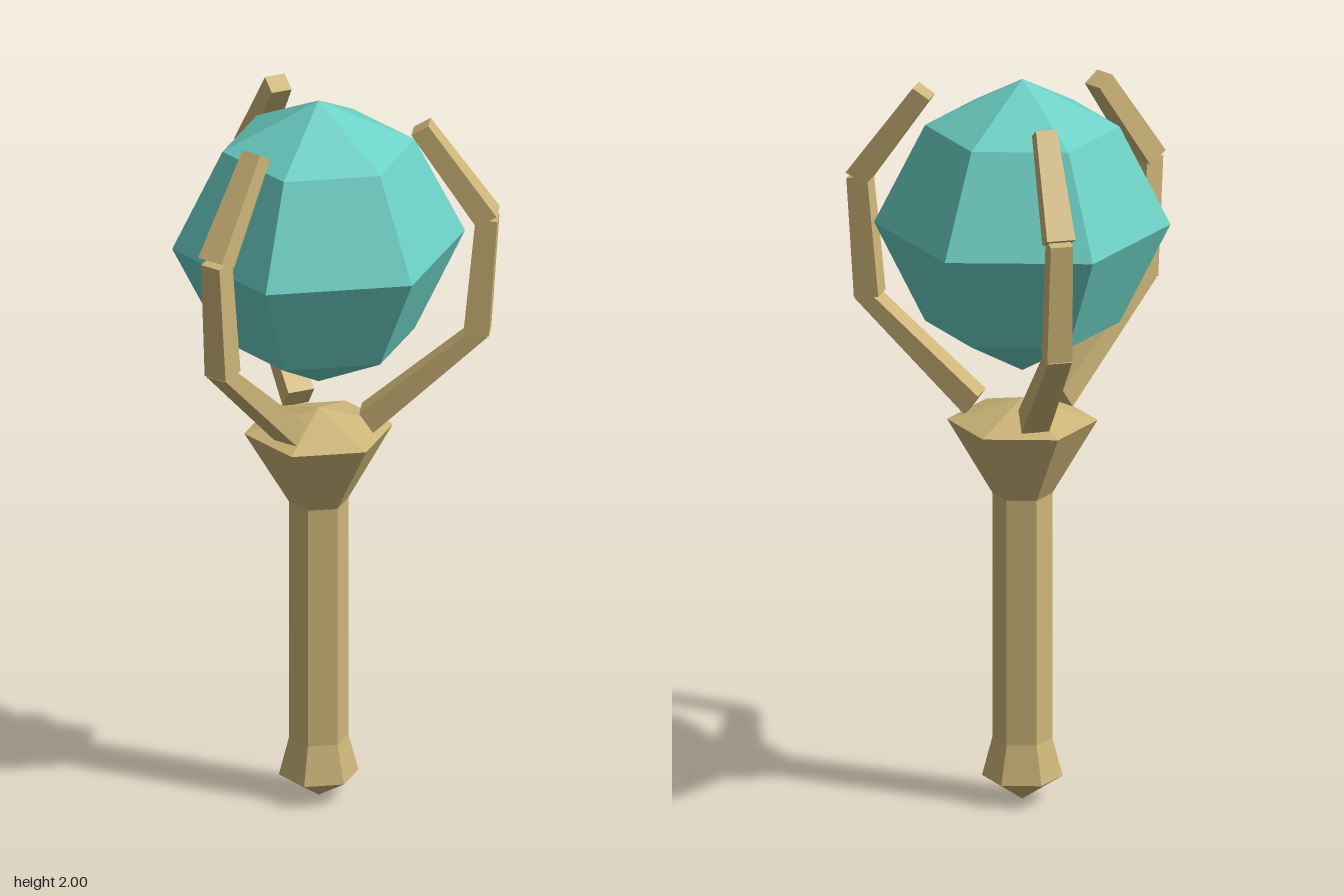
import * as THREE from 'three';

const gold = new THREE.MeshStandardMaterial({ color: 0xcdb578, flatShading: true });
gold.name = 'pale gold';
const teal = new THREE.MeshStandardMaterial({ color: 0x6cd0c5, flatShading: true });
teal.name = 'teal crystal';

// Six-sided turned solid; profile is [radius, height] from bottom to top
function turned(name, profile, material) {
  const points = profile.map(([r, y]) => new THREE.Vector2(r, y));
  const mesh = new THREE.Mesh(new THREE.LatheGeometry(points, 6, Math.PI / 12), material);
  mesh.name = name;
  return mesh;
}

// Tapered bar: each end gives its outer and inner corner [radius, height], width and side offset
function bar(name, bottom, top) {
  const geometry = new THREE.BoxGeometry(1, 1, 1);
  const p = geometry.attributes.position;
  for (let i = 0; i < p.count; i++) {
    const end = p.getY(i) < 0 ? bottom : top;
    const [r, y] = p.getZ(i) > 0 ? end.outer : end.inner;
    p.setXYZ(i, end.offset + p.getX(i) * end.width, y, r);
  }
  geometry.computeVertexNormals();
  const mesh = new THREE.Mesh(geometry, gold);
  mesh.name = name;
  return mesh;
}

// Three-jointed claw reaching along +z
function claw() {
  const group = new THREE.Group();
  group.add(
    bar('clawLower',
      { outer: [0.148, 1.067], inner: [0.111, 1.12], width: 0.074, offset: 0 },
      { outer: [0.451, 1.357], inner: [0.415, 1.38], width: 0.066, offset: -0.006 }),
    bar('clawMiddle',
      { outer: [0.454, 1.36], inner: [0.387, 1.367], width: 0.068, offset: -0.007 },
      { outer: [0.476, 1.687], inner: [0.419, 1.697], width: 0.06, offset: -0.007 }),
    bar('clawTip',
      { outer: [0.476, 1.705], inner: [0.42, 1.677], width: 0.077, offset: -0.008 },
      { outer: [0.294, 1.953], inner: [0.249, 1.925], width: 0.057, offset: -0.005 }),
  );
  return group;
}

export function createModel() {
  const model = new THREE.Group();
  model.name = 'scepter';

  // Handle with pommel and flared collar
  model.add(turned('handle', [
    [0, 0.005], [0.106, 0.07], [0.079, 0.175], [0.079, 0.853], [0.198, 1.056], [0, 1.118],
  ], gold));

  // Faceted orb
  model.add(turned('orb', [
    [0, 1.193], [0.256, 1.328], [0.39, 1.6], [0.256, 1.87], [0, 2],
  ], teal));

  // Claws around the orb
  for (let i = 0; i < 3; i++) {
    const c = claw();
    c.name = ['frontClaw', 'leftClaw', 'rightClaw'][i];
    c.rotation.y = (i * Math.PI * 2) / 3;
    model.add(c);
  }

  // Shared axis sits slightly behind the centre
  for (const part of model.children) part.position.set(-0.004, 0, -0.052);
  return model;
}
